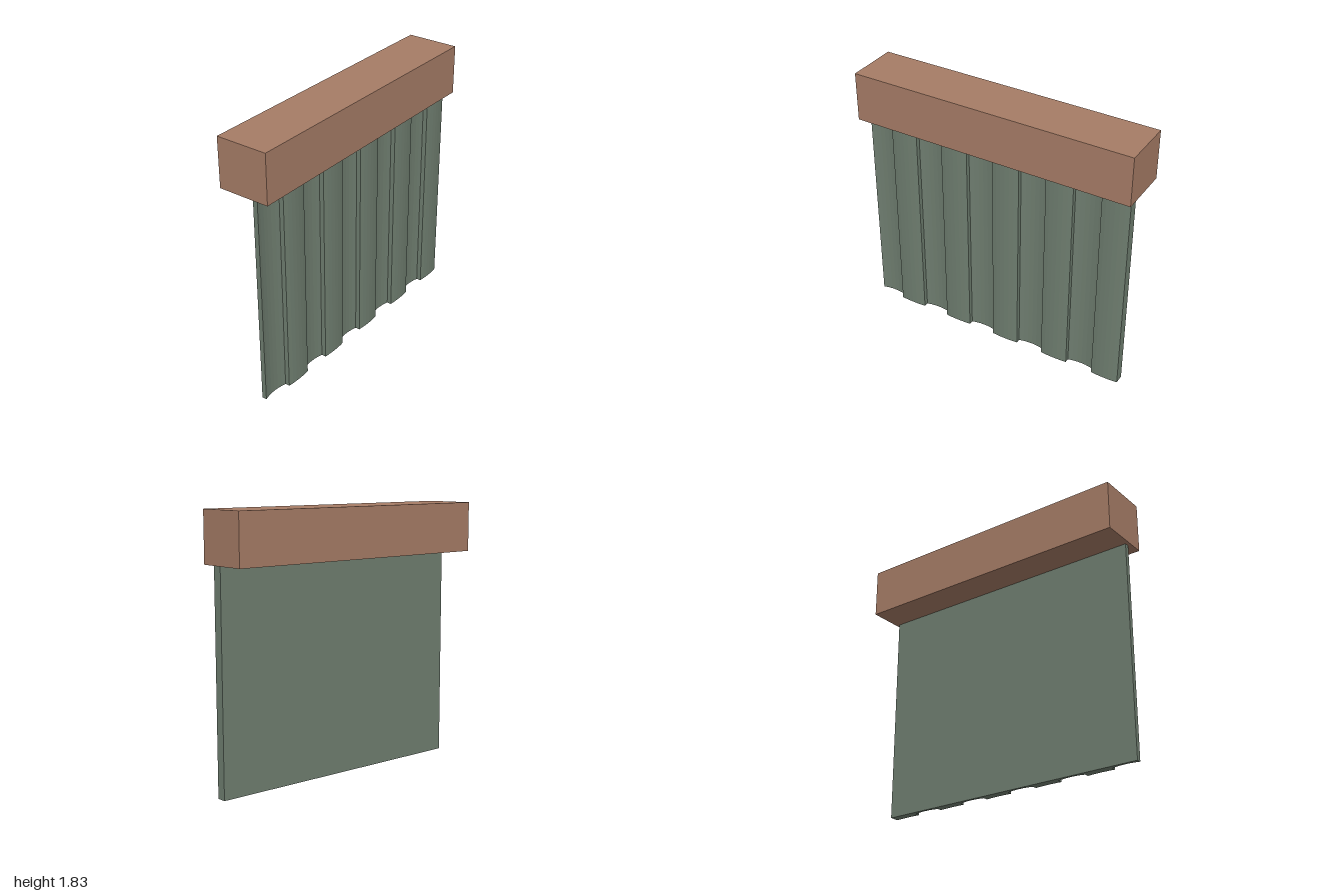
import * as THREE from 'three';

const BEAM_BOTTOM = 1.483, BEAM_TOP = 1.825;
const PANELS = 10, HALF = 0.975, FACETS = 6;
const BACK = 0.05, LOW = 0.083, HIGH = 0.115;

// Corrugated sheet: flat back, outer face alternating hollow and bulging panels
function createSheet(material) {
  const shape = new THREE.Shape();
  const width = (2 * HALF) / PANELS;
  shape.moveTo(BACK, -HALF);
  for (let i = 0; i < PANELS; i++) {
    const raised = i % 2 === 1;
    for (let j = 0; j <= FACETS; j++) {
      const t = j / FACETS;
      const arc = 4 * t * (1 - t);
      const x = raised ? HIGH + 0.012 * arc : LOW - 0.014 * arc;
      shape.lineTo(x, -HALF + (i + t) * width);
    }
  }
  shape.lineTo(BACK, HALF);
  shape.closePath();

  const geometry = new THREE.ExtrudeGeometry(shape, { depth: BEAM_BOTTOM, bevelEnabled: false });
  geometry.rotateX(-Math.PI / 2);
  // Lift the lower rim slightly where the panels bulge outward
  const p = geometry.attributes.position;
  for (let i = 0; i < p.count; i++) {
    if (p.getY(i) < 0.01 && p.getX(i) > HIGH) p.setY(i, 0.6 * (p.getX(i) - HIGH));
  }
  geometry.computeVertexNormals();
  const sheet = new THREE.Mesh(geometry, material);
  sheet.name = 'corrugatedSheet';
  return sheet;
}

export function createModel() {
  const model = new THREE.Group();
  model.name = 'beamWithHangingSheet';
  const wood = new THREE.MeshStandardMaterial({ color: 0xa67c66 });
  const green = new THREE.MeshStandardMaterial({ color: 0x6f7e70, flatShading: true });

  // Top beam
  const beam = new THREE.Mesh(new THREE.BoxGeometry(0.365, BEAM_TOP - BEAM_BOTTOM, 2), wood);
  beam.name = 'topBeam';
  beam.position.y = (BEAM_TOP + BEAM_BOTTOM) / 2;

  model.add(beam, createSheet(green));
  return model;
}
